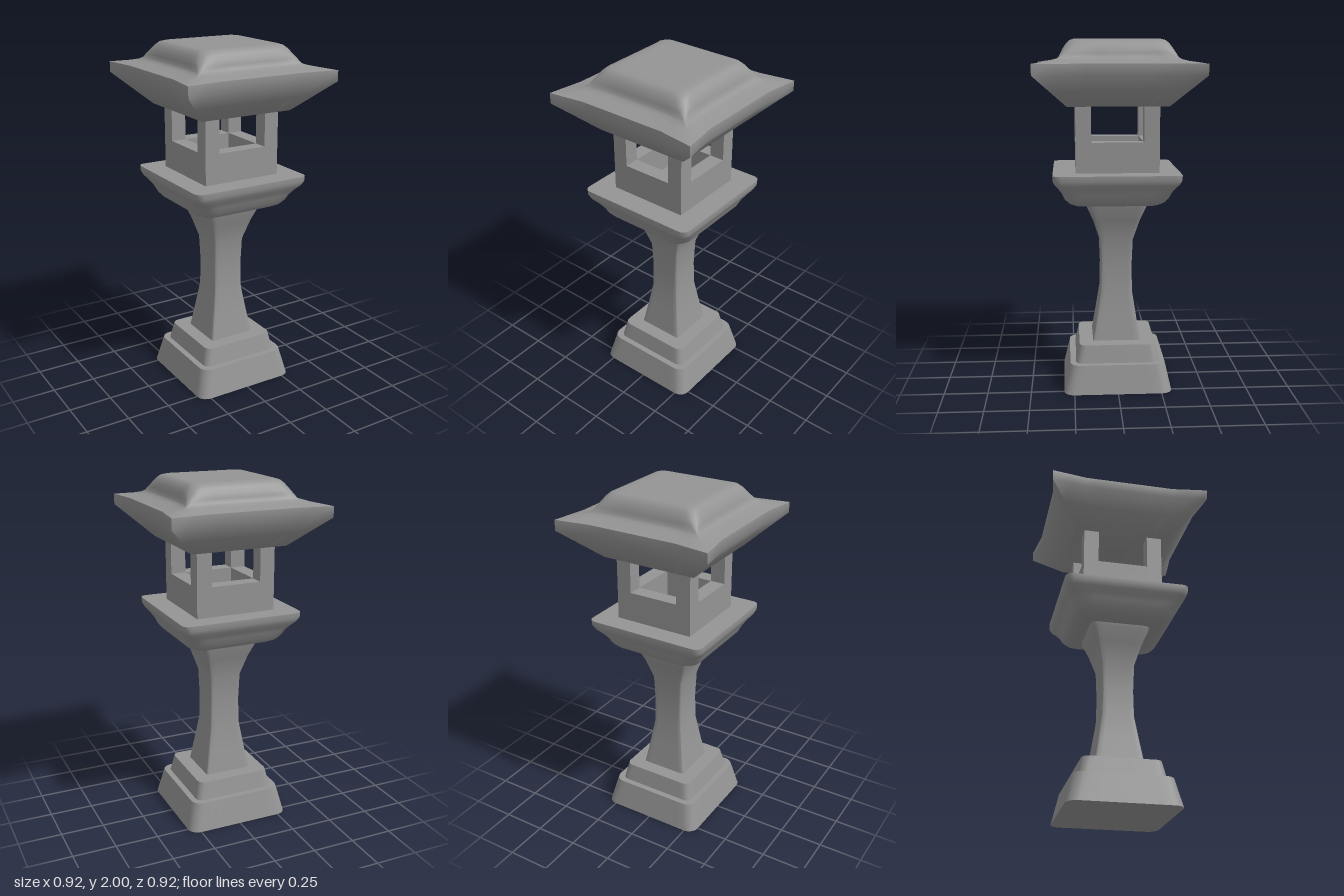
import * as THREE from 'three';
import { toCreasedNormals } from 'three/addons/utils/BufferGeometryUtils.js';

const stone = new THREE.MeshStandardMaterial({ color: 0x949494 });

// Rounded square outline: half width h, corner radius r, corners pulled outward by flare
function squareRing(h, r, flare) {
  const points = [], arcSteps = 5, sideSteps = 10;
  const add = (x, z) => {
    const nearCorner = Math.max(0, (Math.min(Math.abs(x), Math.abs(z)) / h - 0.6) / 0.4);
    const s = 1 + (flare / h) * nearCorner;
    points.push([x * s, z * s]);
  };
  const c = h - r;
  for (let side = 0; side < 4; side++) {
    const a0 = side * Math.PI / 2, cos = Math.round(Math.cos(a0)), sin = Math.round(Math.sin(a0));
    const turn = (x, z) => add(x * cos - z * sin, x * sin + z * cos);
    for (let i = 0; i < sideSteps; i++) turn(h, -c + 2 * c * i / sideSteps);
    for (let i = 0; i < arcSteps; i++) {
      const a = i / arcSteps * Math.PI / 2;
      turn(c + r * Math.cos(a), c + r * Math.sin(a));
    }
  }
  return points;
}

// Closed solid through square sections [y, half width, corner radius, flare], bottom to top
function loft(name, sections, crease = 0.6) {
  const positions = [], index = [];
  const rings = sections.map(([, h, r, flare = 0]) => squareRing(h, r, flare));
  const n = rings[0].length, last = rings.length - 1;
  rings.forEach((ring, j) => ring.forEach(([x, z]) => positions.push(x, sections[j][0], z)));
  const bottom = n * rings.length, top = bottom + 1;
  positions.push(0, sections[0][0], 0, 0, sections[last][0], 0);
  for (let i = 0; i < n; i++) {
    const k = (i + 1) % n;
    for (let j = 0; j < last; j++) {
      const a = j * n + i, b = j * n + k, c = a + n, d = b + n;
      index.push(a, c, b, b, c, d);
    }
    index.push(bottom, i, k, top, last * n + k, last * n + i);
  }
  const geometry = new THREE.BufferGeometry();
  geometry.setAttribute('position', new THREE.Float32BufferAttribute(positions, 3));
  geometry.setIndex(index);
  const mesh = new THREE.Mesh(toCreasedNormals(geometry, crease), stone);
  mesh.name = name;
  return mesh;
}

function box(name, w, h, d, x, y, z) {
  const mesh = new THREE.Mesh(new THREE.BoxGeometry(w, h, d), stone);
  mesh.position.set(x, y, z);
  mesh.name = name;
  return mesh;
}

// Hollow fire box: low walls with a corner pillar at each end
function fireBox() {
  const group = new THREE.Group();
  group.name = 'fireBox';
  const half = 0.233, t = 0.087, floor = 1.27, sill = 1.44, roof = 1.65;
  const mid = half - t / 2, opening = 2 * (half - t);
  for (const s of [-1, 1]) {
    const y = (floor + sill) / 2, h = sill - floor;
    group.add(box('sillWall', opening, h, t, 0, y, s * mid));
    group.add(box('sillWall', t, h, opening, s * mid, y, 0));
    for (const q of [-1, 1]) {
      group.add(box('cornerPillar', t, roof - floor, t, s * mid, (roof + floor) / 2, q * mid));
    }
  }
  return group;
}

export function createModel() {
  const model = new THREE.Group();
  model.name = 'stoneLantern';

  // Two-step tapered foot
  model.add(loft('base', [[0, 0.311, 0.06], [0.163, 0.274, 0.06]]));
  model.add(loft('plinth', [[0.163, 0.24, 0.04], [0.265, 0.219, 0.04]]));

  // Waisted post spreading under the platform
  model.add(loft('post', [
    [0.265, 0.138, 0.012], [0.4, 0.116, 0.012], [0.55, 0.093, 0.012], [0.7, 0.09, 0.012],
    [0.86, 0.096, 0.012], [0.98, 0.134, 0.02], [1.06, 0.169, 0.035], [1.085, 0.174, 0.035],
  ]));

  // Platform with an S-curved underside
  const platform = loft('platform', [
    [1.078, 0.2, 0.05], [1.085, 0.24, 0.06], [1.1, 0.27, 0.075], [1.125, 0.292, 0.08],
    [1.16, 0.307, 0.075], [1.19, 0.325, 0.06], [1.215, 0.345, 0.05], [1.24, 0.356, 0.045],
    [1.27, 0.356, 0.04],
  ], 0.8);
  platform.position.z = 0.005;
  model.add(platform);

  model.add(fireBox());

  // Roof: eaves drawn out at the corners, sweeping smoothly up into the low dome
  model.add(loft('roof', [
    [1.64, 0.28, 0], [1.725, 0.355, 0, 0.015], [1.81, 0.43, 0, 0.03],
    [1.87, 0.43, 0, 0.03], [1.884, 0.345, 0, 0.024], [1.893, 0.318, 0.006, 0.018],
    [1.903, 0.308, 0.012, 0.014], [1.925, 0.303, 0.03, 0.009], [1.95, 0.295, 0.05, 0.004],
    [1.975, 0.28, 0.05], [1.993, 0.262, 0.05], [2.0, 0.24, 0.05], [2.0, 0.2, 0.05],
  ], 0.85));
  return model;
}
